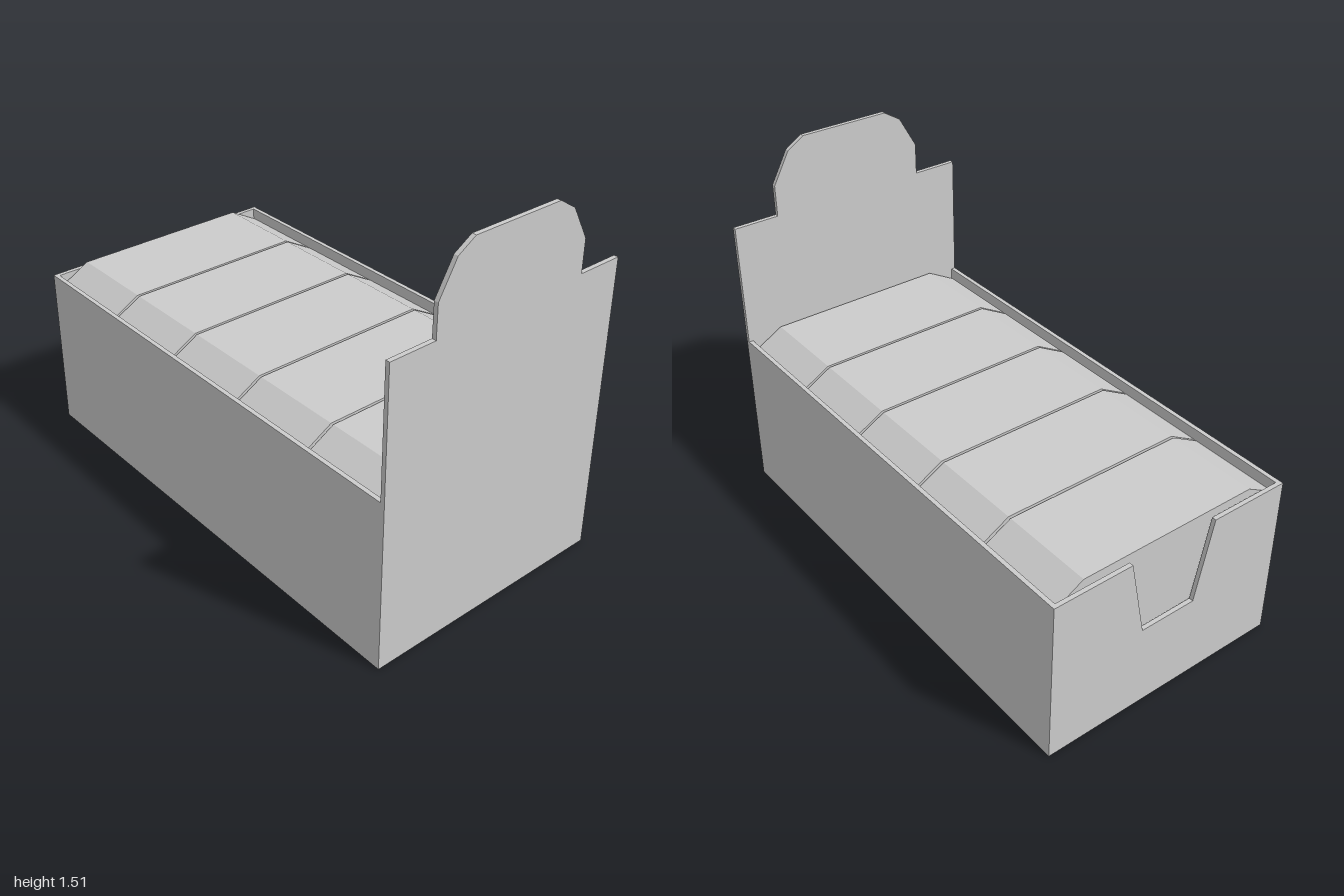
import * as THREE from 'three';

const material = new THREE.MeshStandardMaterial({ color: 0xcccccc, flatShading: true });
const T = 0.018; // card thickness
const HALF_L = 1, HALF_W = 0.525, WALL_H = 0.69;

function addBox(parent, name, w, h, d, x, y, z) {
  const mesh = new THREE.Mesh(new THREE.BoxGeometry(w, h, d), material);
  mesh.name = name;
  mesh.position.set(x, y, z);
  parent.add(mesh);
}

// Extrudes a [z, y] outline along +x, starting at x0
function extrudeAlongX(points, width, x0) {
  const shape = new THREE.Shape(points.map(([z, y]) => new THREE.Vector2(-z, y)));
  const geometry = new THREE.ExtrudeGeometry(shape, { depth: width, bevelEnabled: false });
  geometry.rotateY(Math.PI / 2);
  geometry.translate(x0, 0, 0);
  return geometry;
}

// Completes a symmetric outline from its +z half
const mirrored = (half) => [...half, ...half.map(([z, y]) => [-z, y]).reverse()];

export function createModel() {
  const model = new THREE.Group();
  model.name = 'displayBox';

  // Open tray: floor and long sides
  const innerL = 2 * (HALF_L - T);
  addBox(model, 'floor', innerL, 0.015, 2 * (HALF_W - T), 0, 0.0075, 0);
  for (const s of [-1, 1]) {
    addBox(model, s > 0 ? 'frontWall' : 'backWall', innerL, WALL_H, T, 0, WALL_H / 2, s * (HALF_W - T / 2));
  }

  // Low end wall with a tapered finger notch
  const notched = mirrored([[HALF_W, 0], [HALF_W, WALL_H], [0.19, WALL_H], [0.12, 0.355]]);
  const endWall = new THREE.Mesh(extrudeAlongX(notched, T, -HALF_L), material);
  endWall.name = 'notchedEndWall';
  model.add(endWall);

  // Tall end wall with a raised header panel
  const header = mirrored([
    [HALF_W, 0], [HALF_W, 1.21], [0.335, 1.21], [0.335, 1.34], [0.262, 1.47], [0.19, 1.515],
  ]);
  const headerWall = new THREE.Mesh(extrudeAlongX(header, T, HALF_L - T), material);
  headerWall.name = 'headerWall';
  model.add(headerWall);

  // Stacked bars with six-sided profile: five columns, five layers
  const barW = 0.38, barH = 0.14, pitch = 0.391;
  const profile = mirrored([[0.38, 0], [0.505, barH / 2], [0.38, barH]]);
  const barGeometry = extrudeAlongX(profile, barW, -barW / 2);
  const bars = new THREE.Group();
  bars.name = 'bars';
  for (let column = 0; column < 5; column++) {
    for (let layer = 0; layer < 5; layer++) {
      const bar = new THREE.Mesh(barGeometry, material);
      bar.name = 'bar';
      bar.position.set((column - 2) * pitch, 0.015 + layer * barH, 0);
      bars.add(bar);
    }
  }
  model.add(bars);
  return model;
}
